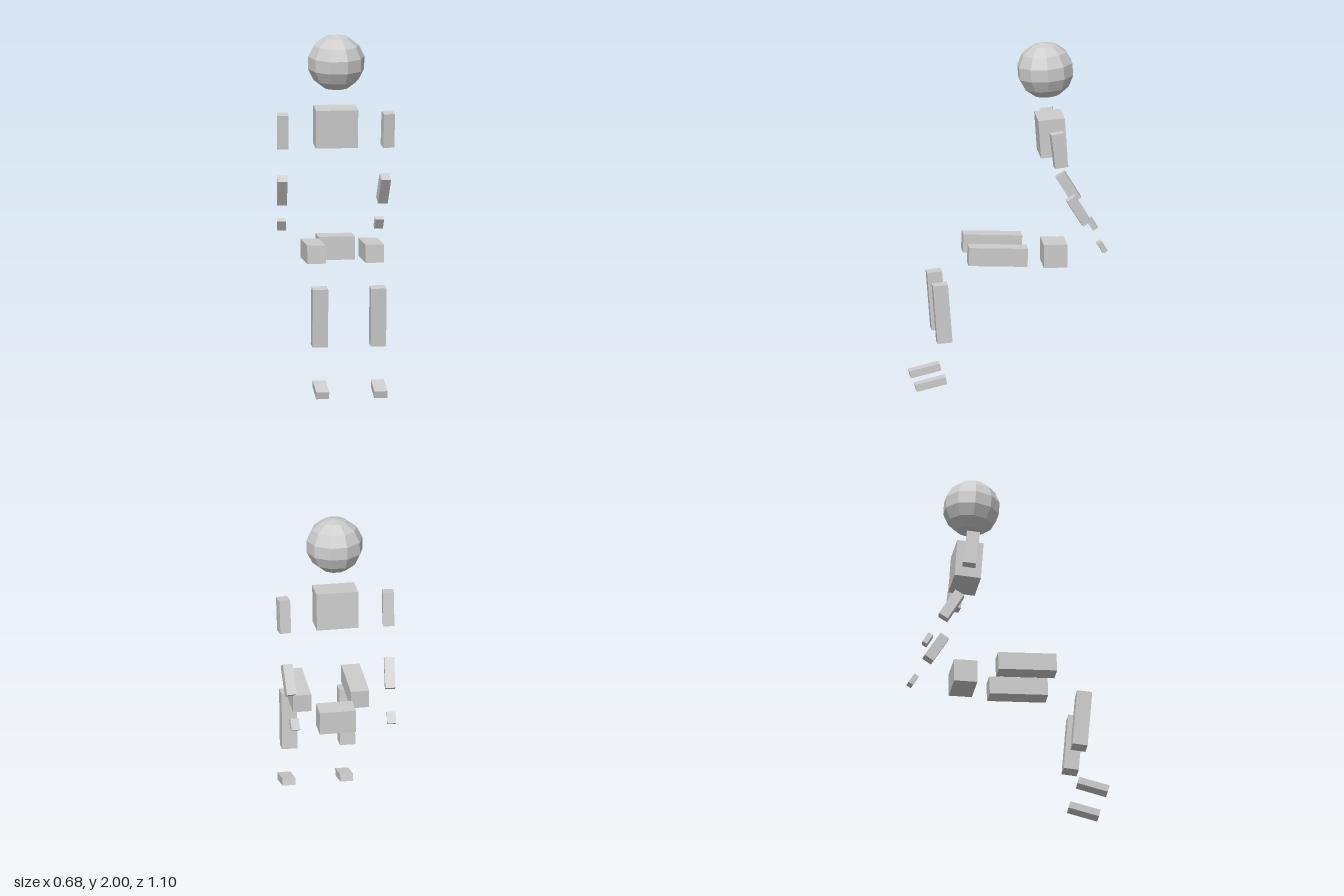
import * as THREE from 'three';

const grey = new THREE.MeshStandardMaterial({ color: 0xcccccc });
grey.name = 'lightGrey';
const deg = THREE.MathUtils.degToRad;

// Box part with pitch about x and yaw about y, in degrees
function block(name, size, pos, pitch = 0, yaw = 0) {
  const mesh = new THREE.Mesh(new THREE.BoxGeometry(...size), grey);
  mesh.name = name;
  mesh.position.set(...pos);
  mesh.rotation.set(deg(pitch), deg(yaw), 0, 'YXZ');
  return mesh;
}

// Limb segments of the left side: name, size, position, pitch, yaw
const limbs = [
  ['UpperArm', [0.064, 0.2, 0.076], [0.304, 1.436, -0.268], 7, 5.5],
  ['Forearm', [0.057, 0.178, 0.06], [0.293, 1.075, -0.382], 32, 5.5],
  ['Hand', [0.05, 0.068, 0.03], [0.281, 0.856, -0.518], 32, 5.5],
  ['Thigh', [0.107, 0.106, 0.339], [0.168, 0.79, 0.072], -2.2, 0],
  ['Shin', [0.089, 0.34, 0.087], [0.168, 0.459, 0.392], 4.5, 0],
  ['Foot', [0.075, 0.042, 0.18], [0.168, 0.046, 0.458], 13.5, 0],
];

export function createModel() {
  const model = new THREE.Group();
  model.name = 'seatedFigure';

  // Faceted head, leaning slightly forward
  const ball = new THREE.SphereGeometry(0.1645, 10, 7).toNonIndexed();
  ball.scale(1.01, 0.988, 1.01);
  ball.computeVertexNormals();
  const head = new THREE.Mesh(ball, grey);
  head.name = 'head';
  head.position.set(0, 1.8375, -0.22);
  head.rotation.x = deg(4);
  model.add(head);

  // Trunk
  model.add(block('chest', [0.243, 0.222, 0.153], [0, 1.46, -0.252], 4));
  model.add(block('pelvis', [0.21, 0.135, 0.135], [0, 0.761, -0.269]));

  // Arms and legs, mirrored across x
  for (const [name, size, [x, y, z], pitch, yaw] of limbs) {
    model.add(block('left' + name, size, [x, y, z], pitch, yaw));
    model.add(block('right' + name, size, [-x, y, z], pitch, -yaw));
  }
  return model;
}
